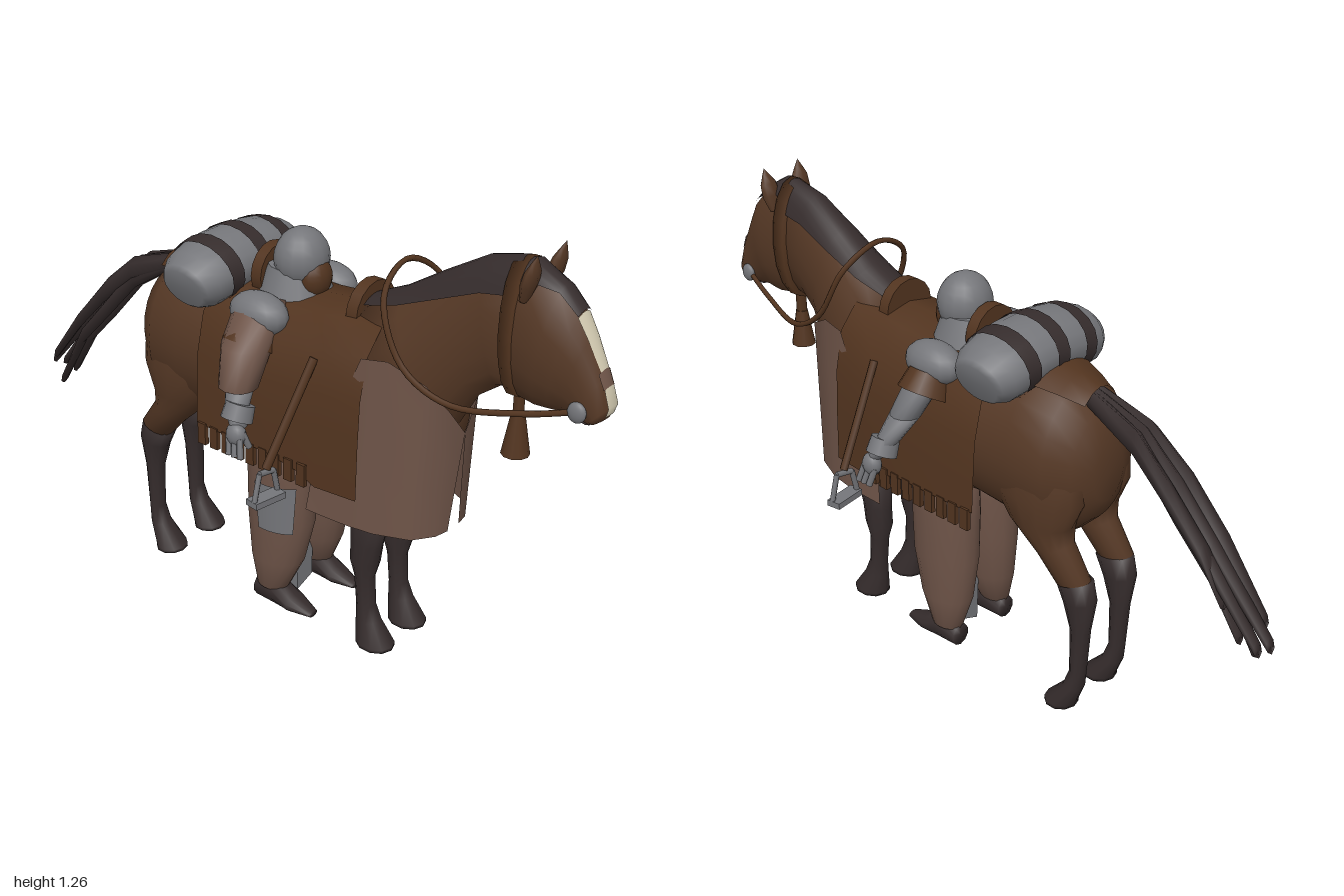
import * as THREE from 'three';
import { mergeVertices } from 'three/addons/utils/BufferGeometryUtils.js';

const make = (name, color, side = THREE.FrontSide) => {
  const m = new THREE.MeshStandardMaterial({ color, side });
  m.name = name;
  return m;
};
const V = (x, y, z) => new THREE.Vector3(x, y, z);

// Smooth surface through equal rows of points, optionally capped at both ends
function grid(rows, capped) {
  const pos = [], idx = [], n = rows[0].length;
  rows.forEach(r => r.forEach(p => pos.push(p.x, p.y, p.z)));
  for (let i = 0; i < rows.length - 1; i++)
    for (let k = 0; k < n - 1; k++) {
      const a = i * n + k, b = a + n;
      idx.push(a, b, a + 1, b, b + 1, a + 1);
    }
  if (capped) [0, rows.length - 1].forEach((r, end) => {
    const c = V(0, 0, 0), id = pos.length / 3;
    for (let k = 0; k < n - 1; k++) c.addScaledVector(rows[r][k], 1 / (n - 1));
    pos.push(c.x, c.y, c.z);
    for (let k = 0; k < n - 1; k++) {
      const a = r * n + k;
      idx.push(id, end ? a + 1 : a, end ? a : a + 1);
    }
  });
  let g = new THREE.BufferGeometry();
  g.setAttribute('position', new THREE.Float32BufferAttribute(pos, 3));
  g.setIndex(idx);
  g = mergeVertices(g, 1e-4);
  g.computeVertexNormals();
  return g;
}

// Oval sections [zTop, yTop, zBottom, yBottom, halfWidth, x]; arcs gives each section an open strip about mid
function loft(secs, { arcs, grow = 0, n = 16, mid = 0 } = {}) {
  const rows = secs.map(([zt, yt, zb, yb, w, x = 0], i) => {
    const c = V(x, (yt + yb) / 2, (zt + zb) / 2);
    const u = V(0, yt - yb, zt - zb).multiplyScalar(0.5);
    u.setLength(u.length() + grow);
    const arc = arcs ? arcs[i] : Math.PI;
    return Array.from({ length: n + 1 }, (_, k) => {
      const t = mid - arc + (2 * arc * k) / n;
      return c.clone().addScaledVector(u, Math.cos(t)).add(V(Math.sin(t) * (w + grow), 0, 0));
    });
  });
  return grid(rows, !arcs);
}

export function createModel() {
  const coat = make('horse brown', 0x553825);
  const leather = make('leather brown', 0x52341f, THREE.DoubleSide);
  const cloth = make('dusty cloth', 0x6e5448, THREE.DoubleSide);
  const grey = make('grey', 0x75767a);
  const dark = make('dark hair', 0x352c2c, THREE.DoubleSide);
  const cream = make('cream', 0xcfc7ae);
  const model = new THREE.Group();
  const add = (name, geo, mat, x = 0, y = 0, z = 0) => {
    const m = new THREE.Mesh(geo, mat);
    m.name = name;
    m.position.set(x, y, z);
    model.add(m);
    return m;
  };
  const rod = (name, a, b, r, mat) => {
    const d = b.clone().sub(a);
    const m = add(name, new THREE.CylinderGeometry(r, r, d.length(), 6), mat);
    m.position.copy(a).addScaledVector(d, 0.5);
    m.quaternion.setFromUnitVectors(V(0, 1, 0), d.normalize());
  };
  const ball = (name, mat, x, y, z, a, b, c) =>
    add(name, new THREE.SphereGeometry(1, 16, 12), mat, x, y, z).scale.set(a, b, c);
  const at = (secs, x) => secs.map(s => [...s.slice(0, 5), x * (s[5] ?? 1)]);

  // Horse trunk, neck and head
  add('horseBody', loft([
    [-0.465, 0.8, -0.465, 0.64, 0.06], [-0.44, 0.9, -0.44, 0.58, 0.125], [-0.37, 0.955, -0.38, 0.52, 0.17],
    [-0.26, 0.975, -0.26, 0.51, 0.182], [-0.1, 0.955, -0.1, 0.53, 0.185], [0.1, 0.95, 0.1, 0.51, 0.182],
    [0.3, 0.98, 0.3, 0.5, 0.168], [0.44, 0.96, 0.44, 0.53, 0.142], [0.53, 0.9, 0.53, 0.59, 0.108],
    [0.575, 0.82, 0.575, 0.68, 0.05]], { n: 24 }), coat);
  const neck = [[0.28, 1.0, 0.45, 0.56, 0.145], [0.4, 1.055, 0.575, 0.73, 0.113], [0.52, 1.13, 0.63, 0.83, 0.085],
    [0.64, 1.2, 0.69, 0.875, 0.068], [0.74, 1.225, 0.76, 0.89, 0.062]];
  add('neck', loft(neck), coat);
  const brow = [0.9, 1.13, 0.835, 0.862, 0.067], nose = [0.975, 0.99, 0.91, 0.86, 0.046];
  const head = [[0.69, 1.21, 0.7, 0.92, 0.055], [0.77, 1.225, 0.74, 0.87, 0.075], [0.85, 1.18, 0.8, 0.86, 0.076],
    brow, [0.93, 1.08, 0.865, 0.865, 0.056], nose, [0.997, 0.92, 0.94, 0.86, 0.043],
    [0.985, 0.885, 0.95, 0.862, 0.03]];
  add('head', loft(head), coat);
  add('mane', loft(neck, { arcs: [0.36, 0.6, 0.85, 1.0, 1.05], grow: 0.008, n: 10 }), dark);
  add('forelock', loft(head.slice(0, 4), { arcs: [1, 0.7, 0.42, 0.4], grow: 0.008, n: 6 }), dark);
  add('blaze', loft([...head.slice(3, 5), [0.968, 1.0, 0.903, 0.861, 0.048]], { arcs: [0.4, 0.42, 0.36], grow: 0.004, n: 6 }), cream);
  add('noseBand', loft([[0.966, 1.004, 0.9, 0.861, 0.049], [0.982, 0.965, 0.918, 0.86, 0.046]], { arcs: [0.5, 0.5], grow: 0.005, n: 6 }), cloth);
  add('snip', loft([[0.982, 0.966, 0.918, 0.86, 0.046], head[6], [0.99, 0.895, 0.947, 0.861, 0.035]], { arcs: [0.45, 0.5, 0.55], grow: 0.004, n: 6 }), cream);
  add('lips', loft(head.slice(5), { arcs: [0.7, 0.7, 0.7], grow: 0.004, n: 6, mid: Math.PI }), dark);
  const earShape = [[0.02, -0.06], [0.032, -0.015], [0.028, 0.02], [0.013, 0.045], [0, 0.065]].map(p => new THREE.Vector2(...p));
  for (const s of [1, -1]) {
    const ear = add('ear', new THREE.LatheGeometry(earShape, 8), coat, s * 0.058, 1.2, 0.785);
    ear.scale.z = 0.55;
    ear.rotation.set(0.25, 0, s * -0.08);
  }

  // Legs, listed from top to bottom
  const foreUpper = [[0.47, 0.65, 0.24, 0.65, 0.07], [0.44, 0.52, 0.27, 0.52, 0.058], [0.42, 0.41, 0.3, 0.41, 0.043]];
  const foreLower = [[0.425, 0.43, 0.295, 0.43, 0.046], [0.4, 0.32, 0.3, 0.32, 0.036], [0.39, 0.26, 0.3, 0.26, 0.038],
    [0.375, 0.21, 0.315, 0.21, 0.028], [0.38, 0.12, 0.325, 0.12, 0.028], [0.4, 0.075, 0.325, 0.07, 0.033],
    [0.445, 0.01, 0.33, 0.01, 0.05], [0.445, 0, 0.33, 0, 0.05]];
  const hindUpper = [[-0.16, 0.86, -0.42, 0.86, 0.04], [-0.13, 0.74, -0.45, 0.74, 0.078], [-0.15, 0.65, -0.455, 0.65, 0.085],
    [-0.22, 0.56, -0.42, 0.57, 0.072], [-0.32, 0.47, -0.42, 0.52, 0.05], [-0.385, 0.4, -0.485, 0.43, 0.04]];
  const hindLower = [[-0.375, 0.41, -0.49, 0.43, 0.043], [-0.405, 0.35, -0.505, 0.37, 0.04],
    [-0.43, 0.27, -0.49, 0.27, 0.028], [-0.435, 0.13, -0.48, 0.13, 0.027], [-0.415, 0.075, -0.475, 0.075, 0.033],
    [-0.355, 0.01, -0.45, 0.01, 0.05], [-0.355, 0, -0.45, 0, 0.05]];
  for (const s of [1, -1]) {
    add('foreThigh', loft(at(foreUpper, s * 0.08)), coat);
    add('foreLeg', loft(at(foreLower, s * 0.075), { n: 10 }), dark);
    add('hindThigh', loft(at(hindUpper, s * 0.09)), coat);
    add('hindLeg', loft(at(hindLower, s * 0.085), { n: 10 }), dark);
  }

  // Tail: flat strands running from tip to root; [x, tip z, tip y, lift]
  [[-0.035, -0.945, 0.48, 0.02], [-0.025, -0.93, 0.39, -0.035], [0, -0.985, 0.44, 0.012], [0.012, -0.9, 0.43, -0.04],
    [0.03, -0.965, 0.43, 0], [0.045, -0.86, 0.53, 0.015]].forEach(([x, z, y, lift]) =>
    add('tailStrand', loft([
      [z, y + 0.022, z - 0.012, y - 0.022, 0.017, x * 0.8], [-0.8, 0.66 + lift, -0.83, 0.58 + lift, 0.024, x],
      [-0.68, 0.79 + lift, -0.71, 0.7 + lift, 0.024, x], [-0.57, 0.895 + lift * 0.4, -0.58, 0.815 + lift * 0.4, 0.022, x * 0.8],
      [-0.4, 0.955, -0.42, 0.9, 0.02, x * 0.5]], { n: 6 }), dark));

  // Chest cloth: two halves with a slit in front; path points are [x, z, top height]
  const hem = [[0.012, 0.595, 0.71], [0.07, 0.587, 0.79], [0.13, 0.548, 0.87], [0.17, 0.455, 0.92],
    [0.182, 0.38, 0.91], [0.187, 0.3, 0.72], [0.188, 0.24, 0.58]];
  for (const s of [1, -1]) {
    const rows = [0, 0.33, 0.66, 1].map(f => hem.map(([x, z, top], i) => V(
      s * (i ? x * (0.89 + 0.08 * f) : 0.025 * f), top + (0.42 - top) * f, z - 0.02 * f)));
    add('chestCloth', grid(rows), cloth);
  }

  // Saddle blanket narrowing towards the front, with fringe, saddle and rear pad
  const drape = [[0.205, 0.56], [0.201, 0.65], [0.194, 0.77], [0.166, 0.885], [0.1, 0.953], [0, 0.972]];
  const section = [...drape.map(([x, y]) => [-x, y]), ...drape.slice(0, -1).reverse()];
  add('saddleBlanket', grid([[-0.165, 0, 0.97], [-0.05, 0, 1], [0.1, 0, 1], [0.2, -0.02, 0.98], [0.26, -0.05, 0.96], [0.39, -0.05, 0.9]].map(
    ([z, d, w]) => section.map(([x, y]) => V(x * w, y < 0.6 ? y + d : y + Math.max(0, z - 0.1) * 0.08, z)))), leather);
  for (const s of [1, -1])
    for (let z = -0.14; z < 0.22; z += 0.045)
      add('fringe', new THREE.BoxGeometry(0.014, 0.065, 0.028), leather, s * 0.2, 0.535, z);
  for (const [name, r, y, z] of [['pommel', 0.085, 0.965, 0.285], ['cantle', 0.08, 0.99, -0.045]])
    add(name, new THREE.CylinderGeometry(r, r, 0.035, 16), leather, 0, y, z).rotation.x = Math.PI / 2;
  add('rearPad', grid([[-0.425, 0.06, 0.957], [-0.36, 0.085, 0.975], [-0.25, 0.12, 0.995]].map(([z, w, y]) =>
    [-1, -0.5, 0, 0.5, 1].map(t => V(t * w, y - 0.035 * t * t, z)))), leather);

  // Bedroll across the back with slanted ends and open strap bands
  const roll = (xs, grow, capped) => grid(xs.map(x => {
    const f = Math.min(1, Math.abs(x) / 0.21), e = 1 - 0.38 * f ** 7;
    return Array.from({ length: 19 }, (_, k) => {
      const t = (k / 18) * Math.PI * 2;
      return V(x * (1 + 0.09 * Math.cos(t)), 0.998 - 0.038 * f * f + Math.cos(t) * (0.087 * e + grow),
        -0.19 - Math.sin(t) * (0.113 * e + grow));
    });
  }), capped);
  add('bedroll', roll([-0.21, -0.2, -0.17, -0.12, -0.06, 0, 0.06, 0.12, 0.17, 0.2, 0.21], 0, true), grey);
  for (const x of [-0.11, 0, 0.11]) add('bedrollStrap', roll([x - 0.022, x, x + 0.022], 0.003, false), dark);

  // Bridle, reins and tassel
  add('browBand', loft([[0.715, 1.22, 0.725, 0.87, 0.074], [0.755, 1.23, 0.755, 0.87, 0.079]], { grow: 0.006 }), leather);
  const half = [[0.045, 0.9, 0.93], [0.08, 0.865, 0.8], [0.13, 0.85, 0.62], [0.145, 0.92, 0.49], [0.115, 1.07, 0.41]];
  const path = [...half.map(p => V(...p)), V(0, 1.13, 0.39), ...half.map(([x, y, z]) => V(-x, y, z)).reverse()];
  add('reins', new THREE.TubeGeometry(new THREE.CatmullRomCurve3(path), 60, 0.008, 6), leather);
  for (const s of [1, -1]) ball('bit', grey, s * 0.05, 0.9, 0.93, 0.013, 0.027, 0.025);
  add('tassel', new THREE.CylinderGeometry(0.018, 0.037, 0.11, 10), leather, 0, 0.76, 0.745);
  rod('tasselCord', V(0, 0.8, 0.745), V(0, 0.9, 0.745), 0.016, leather);

  // Stirrups swung outwards
  for (const s of [1, -1]) {
    const p = (x, y) => V(s * x, y, 0.205);
    rod('stirrupStrap', V(s * 0.17, 0.87, 0.235), p(0.325, 0.6), 0.012, leather);
    [[0.295, 0.585, 0.35, 0.595], [0.295, 0.585, 0.28, 0.52], [0.35, 0.595, 0.37, 0.52]].forEach(([a, b, c, d]) =>
      rod('stirrupFrame', p(a, b), p(c, d), 0.008, grey));
    const tread = add('stirrupTread', new THREE.BoxGeometry(0.1, 0.018, 0.042), grey, s * 0.325, 0.512, 0.205);
    tread.rotation.y = s * 0.15;
  }

  // Rider: hooded head with open face, collar, shoulders
  ball('hood', grey, 0, 1.05, 0.05, 0.08, 0.085, 0.074);
  ball('face', leather, 0, 1.005, 0.095, 0.052, 0.058, 0.044);
  add('collar', new THREE.CylinderGeometry(0.075, 0.11, 0.1, 16), grey, 0, 0.98, 0.03);
  const forearm = [[0.09, 0.8, 0.0, 0.8, 0.042, 0.235], [0.1, 0.73, 0.035, 0.73, 0.036, 0.28], [0.115, 0.68, 0.07, 0.68, 0.026, 0.305]];
  const upperArm = [[0.08, 0.95, -0.04, 0.95, 0.05, 0.14], [0.08, 0.87, -0.02, 0.87, 0.048, 0.19], forearm[0]];
  const sleeve = [[0.09, 0.96, -0.05, 0.96, 0.06, 0.13], [0.1, 0.86, -0.04, 0.86, 0.07, 0.2], [0.105, 0.765, -0.005, 0.765, 0.052, 0.258]];
  const trouser = [[0.15, 0.6, -0.05, 0.6, 0.085, 0.08], [0.16, 0.45, -0.06, 0.45, 0.086, 0.08], [0.157, 0.3, -0.06, 0.3, 0.08, 0.082],
    [0.125, 0.16, -0.045, 0.16, 0.066, 0.088], [0.08, 0.06, -0.02, 0.06, 0.038, 0.1]];
  for (const s of [1, -1]) {
    ball('shoulderGuard', grey, s * 0.145, 0.928, 0.025, 0.06, 0.06, 0.092);
    const cuff = add('shoulderCuff', new THREE.CylinderGeometry(0.06, 0.075, 0.06, 12, 1, true), leather, s * 0.172, 0.875, 0.025);
    cuff.rotation.z = s * 0.5;
    add('forearm', loft(at(forearm, s), { n: 12 }), grey);
    add('upperArm', loft(at(s > 0 ? upperArm : sleeve, s), { n: 12 }), s > 0 ? grey : cloth);
    const bracer = add('bracer', new THREE.CylinderGeometry(0.04, 0.044, 0.045, 12), grey, s * 0.288, 0.71, 0.078);
    bracer.rotation.z = s * 0.4;
    ball('palm', grey, s * 0.317, 0.66, 0.095, 0.024, 0.033, 0.03);
    for (const z of [0.075, 0.095, 0.115])
      rod('finger', V(s * 0.325, 0.655, z), V(s * 0.338, 0.605, z + 0.012), 0.009, grey);
    rod('thumb', V(s * 0.315, 0.67, 0.115), V(s * 0.3, 0.625, 0.125), 0.009, grey);
    add('trouserLeg', loft(at(trouser, s)), cloth);
    add('boot', loft(at([[-0.02, 0.07, -0.02, 0, 0.032], [0.05, 0.09, 0.05, 0, 0.04], [0.11, 0.05, 0.11, 0, 0.04],
      [0.18, 0.025, 0.18, 0.005, 0.018]], s * 0.098), { n: 10 }), dark);
  }
  // Grey coat tail and thigh plate
  const tail = new THREE.Shape([[-0.045, 0.5], [-0.025, 0.01], [0.04, 0.035], [0.05, 0.5]].map(p => new THREE.Vector2(...p)));
  add('coatTail', new THREE.ExtrudeGeometry(tail, { depth: 0.03, bevelEnabled: false }), grey, 0, 0, 0.03);
  add('thighPlate', loft(at([[0.16, 0.43, -0.06, 0.43, 0.086], [0.157, 0.28, -0.06, 0.28, 0.08]], -0.081),
    { arcs: [0.6, 0.5], grow: 0.005, n: 6, mid: -1.2 }), grey);
  return model;
}
